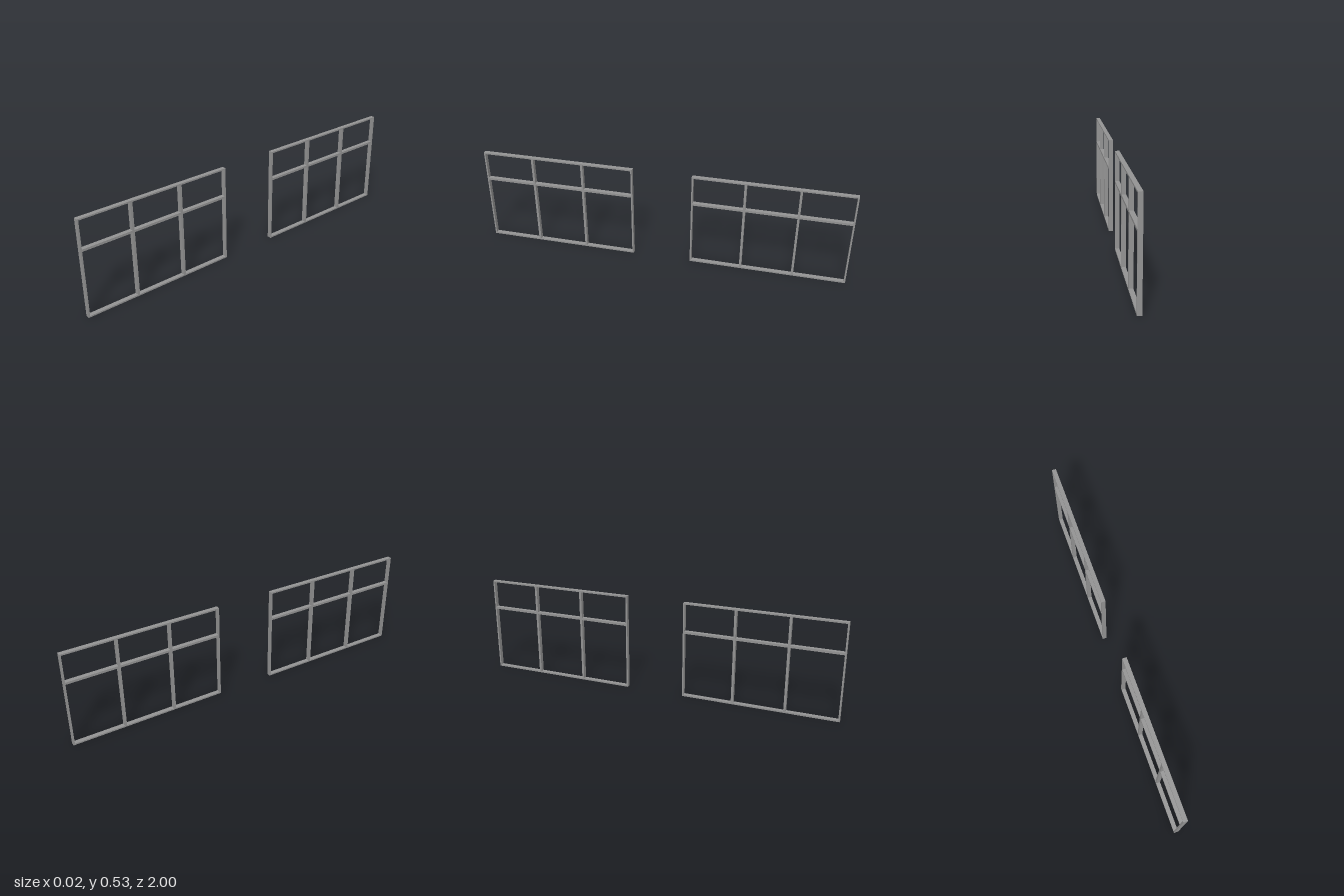
import * as THREE from 'three';

const DEPTH = 0.023;                 // thickness along x
const HEIGHT = 0.527;
const Z_IN = 0.16, Z_OUT = 1;        // extent of one window along z
const BORDER = 0.008, BAR = 0.012;   // face widths of outer frame and inner bars
const RAIL_Y = 0.365;
const MULLIONS = [0.44, 0.72];

const material = new THREE.MeshStandardMaterial({ color: 0x929292 });

// Square bar spanning y0..y1 and z0..z1
function bar(name, y0, y1, z0, z1) {
  const mesh = new THREE.Mesh(new THREE.BoxGeometry(DEPTH, y1 - y0, z1 - z0), material);
  mesh.position.set(0, (y0 + y1) / 2, (z0 + z1) / 2);
  mesh.name = name;
  return mesh;
}

function createWindow(name, side) {
  const group = new THREE.Group();
  group.name = name;
  const add = (part, y0, y1, a, b) =>
    group.add(bar(part, y0, y1, Math.min(a * side, b * side), Math.max(a * side, b * side)));

  // Outer frame
  add('sill', 0, BORDER, Z_IN, Z_OUT);
  add('head', HEIGHT - BORDER, HEIGHT, Z_IN, Z_OUT);
  add('innerJamb', BORDER, HEIGHT - BORDER, Z_IN, Z_IN + BORDER);
  add('outerJamb', BORDER, HEIGHT - BORDER, Z_OUT - BORDER, Z_OUT);

  // Upright bars
  for (const z of MULLIONS) add('mullion', BORDER, HEIGHT - BORDER, z - BAR / 2, z + BAR / 2);

  // Cross rail, in pieces between the uprights
  const stops = [Z_IN + BORDER, ...MULLIONS.flatMap((z) => [z - BAR / 2, z + BAR / 2]), Z_OUT - BORDER];
  for (let i = 0; i < stops.length; i += 2) {
    add('transom', RAIL_Y - BAR / 2, RAIL_Y + BAR / 2, stops[i], stops[i + 1]);
  }
  return group;
}

export function createModel() {
  const model = new THREE.Group();
  model.name = 'windowFrames';
  model.add(createWindow('frontWindow', 1), createWindow('backWindow', -1));
  return model;
}
